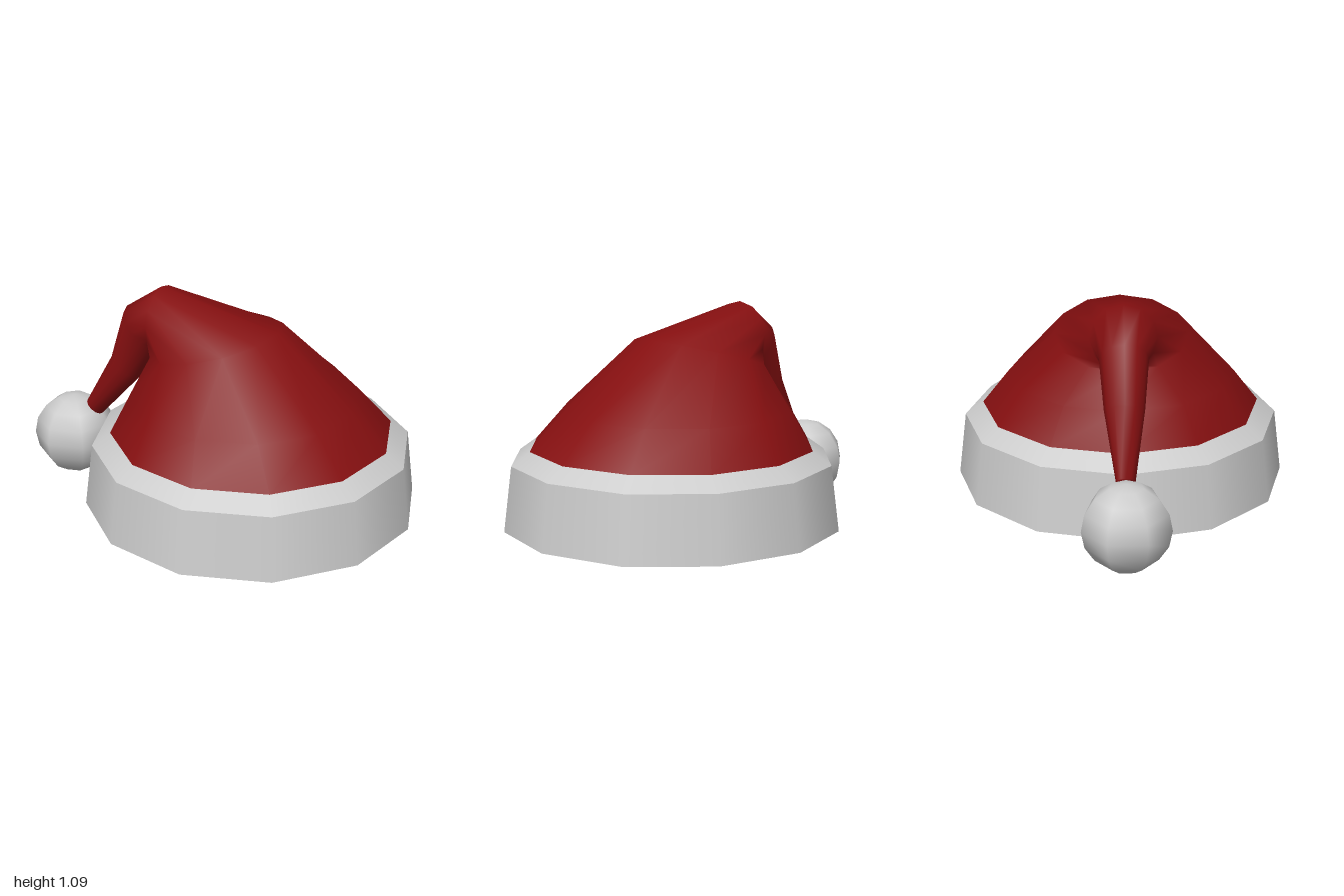
import * as THREE from 'three';

const SIDES = 12;

// Smooth skin through elliptical rings; each ring is [outer x, outer y, inner x, inner y, half depth]
function skin(rings) {
  const pos = [], index = [];
  for (const [ox, oy, ix, iy, depth] of rings) {
    for (let j = 0; j < SIDES; j++) {
      const a = (j / SIDES) * Math.PI * 2, c = Math.cos(a) / 2;
      pos.push((ox + ix) / 2 + (ox - ix) * c, (oy + iy) / 2 + (oy - iy) * c, depth * Math.sin(a));
    }
  }
  for (let i = 0; i < rings.length - 1; i++) {
    for (let j = 0; j < SIDES; j++) {
      const k = (j + 1) % SIDES, a = i * SIDES + j, b = i * SIDES + k;
      index.push(a, a + SIDES, b, b, a + SIDES, b + SIDES);
    }
  }
  // close the tip
  const last = (rings.length - 1) * SIDES;
  for (let j = 1; j < SIDES - 1; j++) index.push(last, last + j + 1, last + j);
  const g = new THREE.BufferGeometry();
  g.setAttribute('position', new THREE.Float32BufferAttribute(pos, 3));
  g.setIndex(index);
  g.computeVertexNormals();
  return g;
}

export function createModel() {
  const group = new THREE.Group();
  const red = new THREE.MeshStandardMaterial({ name: 'red felt', color: 0x850f10 });
  const white = new THREE.MeshStandardMaterial({ name: 'white fur', color: 0xcccccc });

  const add = (name, geometry, material, x = 0, y = 0) => {
    const mesh = new THREE.Mesh(geometry, material);
    mesh.name = name;
    mesh.position.set(x, y, 0);
    group.add(mesh);
    return mesh;
  };

  // Fur brim: tall band with closed underside, and a sloping upper edge
  add('brimBand', new THREE.CylinderGeometry(0.78, 0.82, 0.315, SIDES), white, 0.18, 0.2125);
  add('brimTop', new THREE.CylinderGeometry(0.69, 0.78, 0.065, SIDES, 1, true), white, 0.18, 0.4025);

  // Cone that bends over and hangs down as a tail
  add('hatCone', skin([
    [0.87, 0.435, -0.51, 0.435, 0.69],
    [0.70, 0.61, -0.42, 0.61, 0.56],
    [0.31, 0.95, -0.33, 0.77, 0.325],
    [-0.30, 1.09, -0.32, 0.78, 0.16],
    [-0.49, 0.96, -0.33, 0.77, 0.115],
    [-0.57, 0.70, -0.42, 0.60, 0.095],
    [-0.73, 0.41, -0.65, 0.345, 0.045],
  ]), red);

  // Pompom at the end of the tail
  add('pompom', new THREE.SphereGeometry(0.21, 7, 8), white, -0.81, 0.21).rotation.y = Math.PI;

  return group;
}
